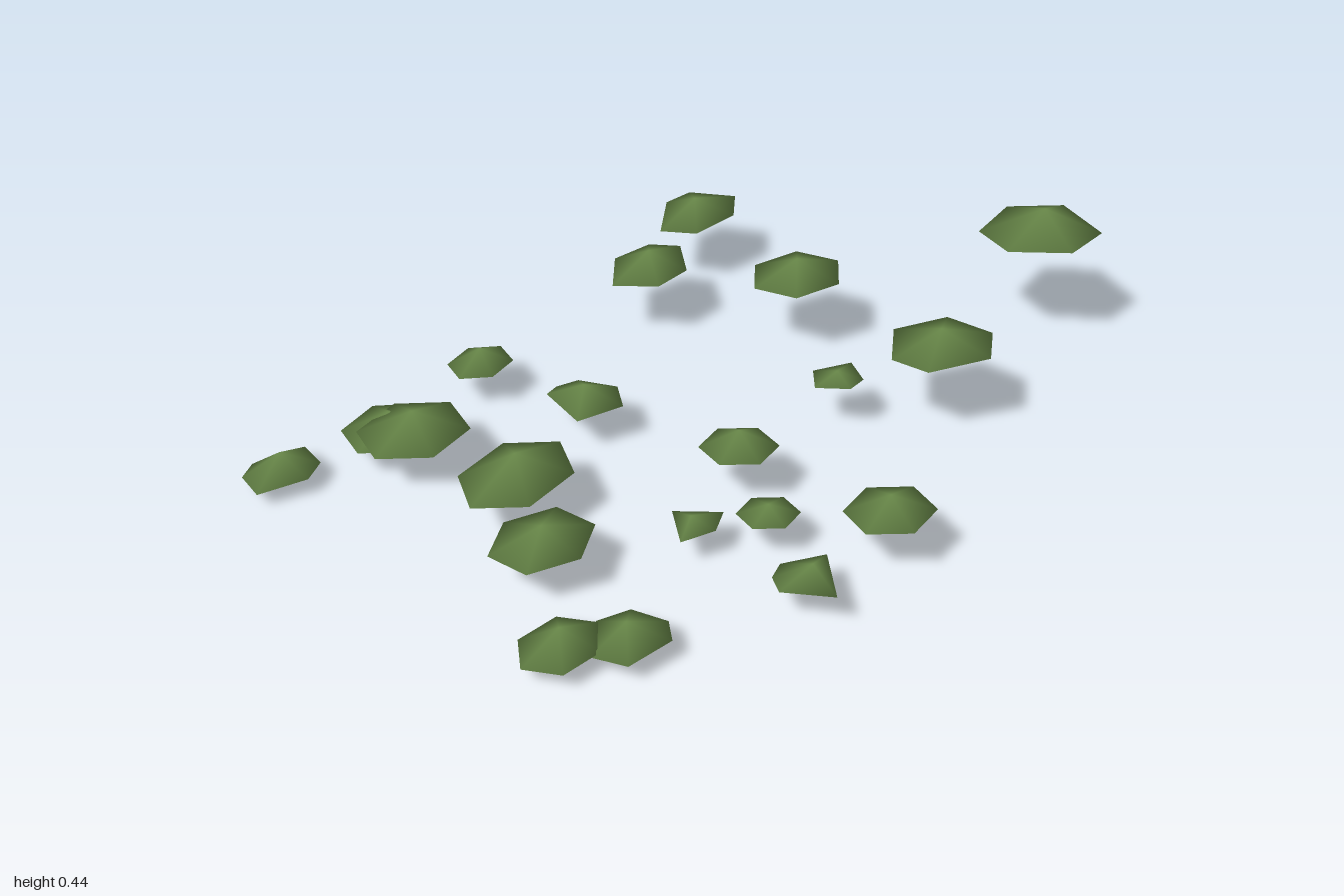
import * as THREE from 'three';

const leafGreen = new THREE.MeshStandardMaterial({ color: 0x6a8a4a });
leafGreen.name = 'leaf green';

const TILT = 0.12; // every clump rises slightly towards +x

const turned = (sides, start) =>
  Array.from({ length: sides }, (_, i) => start + (i * 360) / sides);

// Soft-shaded faceted clump: a tilted rim between a top and a bottom point.
// angles: corner directions seen from above, in degrees from +x towards +z
function clumpGeometry(width, depth, rise, drop, angles) {
  const rim = angles.map((a) => {
    const r = THREE.MathUtils.degToRad(a);
    return new THREE.Vector2(Math.cos(r), Math.sin(r));
  });
  // fit the rim to its width and depth
  const box = new THREE.Box2().setFromPoints(rim);
  const size = box.getSize(new THREE.Vector2());
  const mid = box.getCenter(new THREE.Vector2());
  const positions = [0, rise, 0, 0, -drop, 0];
  for (const p of rim) {
    const x = ((p.x - mid.x) / size.x) * width;
    const z = ((p.y - mid.y) / size.y) * depth;
    positions.push(x, x * TILT, z);
  }
  const index = [];
  const n = rim.length;
  for (let i = 0; i < n; i++) {
    const a = 2 + i;
    const b = 2 + ((i + 1) % n);
    index.push(0, b, a, 1, a, b);
  }
  const geometry = new THREE.BufferGeometry();
  geometry.setAttribute('position', new THREE.Float32BufferAttribute(positions, 3));
  geometry.setIndex(index);
  geometry.computeVertexNormals();
  return geometry;
}

export function createModel() {
  const model = new THREE.Group();
  model.name = 'foliageClumps';

  // x, z, width, depth, heights of rim, top and bottom, then turn or corner angles
  const clump = (x, z, width, depth, y, top, bottom, corners) => {
    const angles = Array.isArray(corners) ? corners : turned(6, corners);
    const mesh = new THREE.Mesh(
      clumpGeometry(width, depth, top - y, y - bottom, angles), leafGreen);
    mesh.position.set(x, y, z);
    mesh.name = 'leafClump' + (model.children.length + 1);
    model.add(mesh);
  };

  // high clumps at the back
  clump(0.59, -0.855, 0.3, 0.29, 0.38, 0.445, 0.315, [-90, -17, 36, 98, 150, 214]);
  clump(-0.375, -0.65, 0.22, 0.26, 0.215, 0.263, 0.165, [-10, 50, 106, 187, 222, 298]);
  clump(-0.335, -0.355, 0.22, 0.26, 0.21, 0.26, 0.155, [-10, 38, 106, 180, 232, 279]);
  clump(0.055, -0.485, 0.26, 0.22, 0.25, 0.3, 0.19, 0);
  clump(0.555, -0.355, 0.29, 0.26, 0.285, 0.335, 0.23, [4, 76, 122, 188, 251, 310]);
  clump(0.33, -0.23, 0.14, 0.145, 0.175, 0.192, 0.157, [-12, 30, 110, 180, 270]);

  // row across the middle
  clump(-0.525, 0.16, 0.15, 0.18, 0.12, 0.165, 0.08, 30);
  clump(-0.19, 0.16, 0.215, 0.18, 0.13, 0.18, 0.08, [-11, 68, 170, 194, 229, 292]);
  clump(0.275, 0.16, 0.18, 0.18, 0.175, 0.225, 0.12, 30);
  clump(0.71, 0.18, 0.2, 0.22, 0.178, 0.225, 0.15, 32);
  clump(0.44, 0.29, 0.14, 0.145, 0.125, 0.152, 0.1, 30);
  clump(0.293, 0.405, 0.14, 0.15, 0.105, 0.13, 0.085, [-49, 5, 74, 190]);
  clump(0.643, 0.425, 0.185, 0.175, 0.118, 0.155, 0.08, [27, 116, 153, 187, 260]);

  // low clumps at the front
  clump(-0.56, 0.495, 0.22, 0.255, 0.1, 0.152, 0.045, 30);
  clump(-0.465, 0.515, 0.26, 0.29, 0.145, 0.205, 0.08, 32);
  clump(-0.13, 0.535, 0.255, 0.33, 0.16, 0.225, 0.08, 36);
  clump(0.055, 0.685, 0.255, 0.255, 0.14, 0.185, 0.08, 8);
  clump(-0.72, 0.735, 0.18, 0.22, 0.052, 0.11, 0, [-40, 0, 79, 143, 175, 259]);
  clump(0.25, 0.89, 0.2, 0.22, 0.06, 0.115, 0.003, 47);
  clump(0.37, 0.795, 0.2, 0.19, 0.07, 0.12, 0.004, [-20, 55, 112, 190, 239, 299]);

  return model;
}
